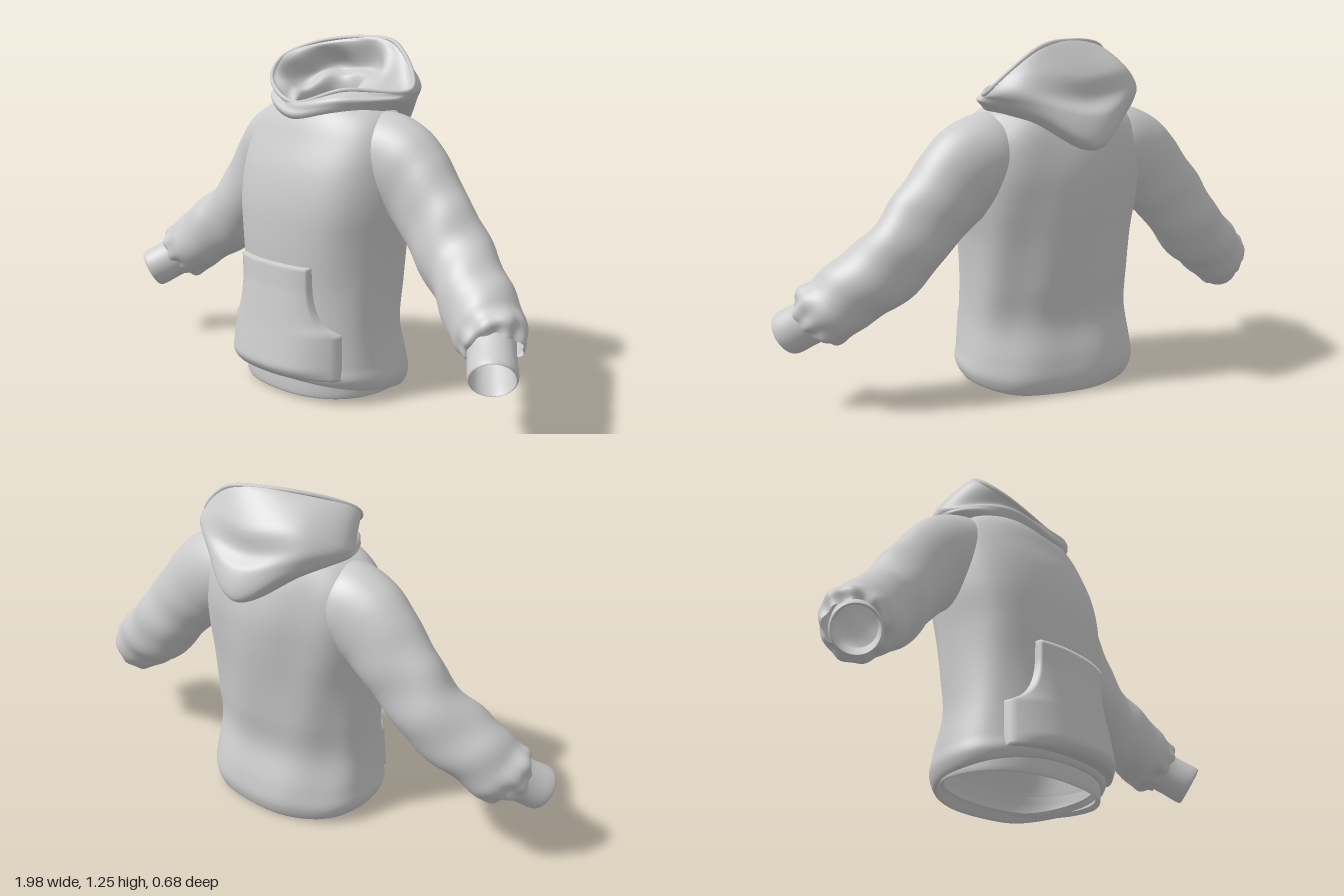
import * as THREE from 'three';

const V = (x, y, z) => new THREE.Vector3(x, y, z);
const { clamp, smoothstep } = THREE.MathUtils;
const fabric = new THREE.MeshStandardMaterial({ color: 0xcccccc, side: THREE.DoubleSide });
fabric.name = 'grey fabric';

// Surface over a grid of points (rows x columns), pushed along its normals by fold(u, v)
function skin(name, rows, closed, fold) {
  const n = rows[0].length, m = rows.length, index = [];
  for (let j = 0; j < m - 1; j++) {
    for (let i = 0; i < (closed ? n : n - 1); i++) {
      const a = j * n + i, b = j * n + (i + 1) % n;
      index.push(a, b, b + n, a, b + n, a + n);
    }
  }
  const geo = new THREE.BufferGeometry().setFromPoints(rows.flat());
  geo.setIndex(index);
  geo.computeVertexNormals();
  if (fold) {
    const p = geo.attributes.position, q = geo.attributes.normal;
    for (let k = 0; k < p.count; k++) {
      const d = fold((k % n) / n * Math.PI * 2, Math.floor(k / n) / (m - 1));
      p.setXYZ(k, p.getX(k) + q.getX(k) * d, p.getY(k) + q.getY(k) * d, p.getZ(k) + q.getZ(k) * d);
    }
    geo.computeVertexNormals();
  }
  const mesh = new THREE.Mesh(geo, fabric);
  mesh.name = name;
  return mesh;
}

// Smooth closed loft through a few cross-section rings
function loft(name, rings, nu, nv, fold) {
  const dense = rings.map(r => {
    const c = new THREE.CatmullRomCurve3(r, true);
    return Array.from({ length: nu }, (_, i) => c.getPoint(i / nu));
  });
  const columns = dense[0].map((_, i) => new THREE.CatmullRomCurve3(dense.map(r => r[i])));
  const rows = Array.from({ length: nv + 1 }, (_, j) => columns.map(c => c.getPoint(j / nv)));
  return skin(name, rows, true, fold);
}

// Torso sections: y, front lift of the lower edge, half width, front z, back z
const EXP = 0.88;
const body = [
  [0.035, 0.06, 0.295, 0.255, -0.185], [0.005, 0.07, 0.318, 0.27, -0.206], [0.055, 0.045, 0.338, 0.285, -0.226],
  [0.13, 0.01, 0.331, 0.28, -0.218], [0.26, 0, 0.317, 0.27, -0.185], [0.4, 0, 0.317, 0.265, -0.2],
  [0.55, 0, 0.327, 0.27, -0.216], [0.68, 0, 0.345, 0.265, -0.23], [0.8, 0, 0.35, 0.24, -0.235],
  [0.9, 0, 0.34, 0.2, -0.22], [0.96, 0, 0.31, 0.175, -0.2], [1.0, 0, 0.265, 0.152, -0.18],
  [1.02, 0, 0.2, 0.14, -0.16], [1.0, 0, 0.13, 0.14, -0.135],
];
function bodyRing([y, lift, w, zf, zb]) {
  return Array.from({ length: 32 }, (_, i) => {
    const a = i / 32 * Math.PI * 2, s = Math.sin(a), c = Math.cos(a);
    const pw = v => Math.sign(v) * Math.abs(v) ** EXP;
    return V(w * pw(s), y + lift * (c + 1) / 2, (zf + zb) / 2 + (zf - zb) / 2 * pw(c));
  });
}
function bodyFront(x, y) {
  let k = 2;
  while (body[k + 1][0] < y) k++;
  const t = clamp((y - body[k][0]) / (body[k + 1][0] - body[k][0]), 0, 1);
  const [, , w, zf, zb] = body[k].map((v, i) => v + (body[k + 1][i] - v) * t);
  return (zf + zb) / 2 + (zf - zb) / 2 * (1 - Math.abs(x / w) ** (2 / EXP)) ** (EXP / 2);
}

// Kangaroo pocket: puffed panel with concave hand openings and turned-back edges
function pocket() {
  const N = 40, M = 36, rows = [];
  for (let j = 0; j <= M; j++) {
    const v = clamp((j - 1) / (M - 2), 0, 1);
    const y = 0.095 + 0.385 * v;
    const t = clamp((y - 0.26) / 0.16, 0, 1);
    const hw = 0.285 - 0.015 * Math.min(y / 0.26, 1) - 0.09 * Math.sqrt(1 - (1 - t) ** 2);
    rows.push(Array.from({ length: N + 1 }, (_, i) => {
      const u = clamp((i - 1) / (N - 2), 0, 1) * 2 - 1;
      const edge = i === 0 || i === N || j === 0 || j === M;
      const puff = 0.022 + 0.042 * smoothstep(v, -0.06, 0.1) * (1 - u ** 4) * (1 - v);
      const x = hw * u;
      return V(x, y, bodyFront(x, y) + (edge ? -0.012 : puff));
    }));
  }
  return skin('frontPocket', rows, false);
}

// Rings of cloth around a path of [x, y, z, radius across, radius in depth]; axis fixes their facing
function tubeRings(list, side, axis) {
  const path = new THREE.CatmullRomCurve3(list.map(p => V(p[0], p[1], p[2])));
  return list.map((p, k) => {
    const T = axis ?? path.getTangent(k / (list.length - 1));
    const depth = V(0, 0, 1).addScaledVector(T, -T.z).normalize();
    const across = depth.clone().cross(T);
    const ring = Array.from({ length: 16 }, (_, i) => {
      const a = i / 16 * Math.PI * 2;
      const q = V(p[0], p[1], p[2]).addScaledVector(across, Math.cos(a) * p[3])
        .addScaledVector(depth, Math.sin(a) * p[4]);
      q.x *= side;
      return q;
    });
    return side < 0 ? ring.reverse() : ring;
  });
}
const sleevePath = [
  [0.17, 0.87, -0.03, 0.13, 0.12], [0.25, 0.855, -0.035, 0.152, 0.138], [0.33, 0.815, -0.04, 0.162, 0.132],
  [0.4, 0.758, -0.045, 0.153, 0.12], [0.49, 0.66, -0.045, 0.138, 0.113], [0.59, 0.548, -0.032, 0.133, 0.116],
  [0.7, 0.452, 0.0, 0.128, 0.12], [0.79, 0.382, 0.04, 0.12, 0.12], [0.845, 0.34, 0.064, 0.113, 0.108],
  [0.87, 0.317, 0.085, 0.08, 0.08],
];
const cuffAxis = V(0.58, -0.5, 0.64).normalize();
const cuffPath = [
  [0.825, 0.348, 0.06, 0.085, 0.08], [0.875, 0.308, 0.11, 0.08, 0.075], [0.925, 0.268, 0.162, 0.079, 0.077],
  [0.93, 0.264, 0.168, 0.074, 0.072], [0.92, 0.272, 0.157, 0.07, 0.068], [0.84, 0.336, 0.075, 0.066, 0.062],
];

// Hood rings, listed from the front round by the model's left to the back
const half = (f, fl, l, bl, b) => [f, fl, l, bl, b,
  ...[bl, l, fl].map(p => [-p[0] * 0.96, p[1], p[2]])].map(p => V(...p));
const rim = [[-0.01, 1.025, 0.155], [0.17, 1.075, 0.085], [0.3, 1.075, -0.11], [0.14, 1.225, -0.19],
  [0, 1.243, -0.165], [-0.16, 1.222, -0.08], [-0.235, 1.17, 0.02], [-0.195, 1.1, 0.105]].map(p => V(...p));
const inward = (s, drop) => rim.map(p => V(p.x * s, p.y - drop, -0.02 + (p.z + 0.02) * s));
const hoodRings = [
  half([0, 0.95, 0.15], [0.17, 0.99, 0.11], [0.25, 1.0, -0.02], [0.17, 0.98, -0.14], [0, 0.95, -0.18]),
  half([0, 0.975, 0.172], [0.18, 1.015, 0.12], [0.275, 1.025, -0.03], [0.18, 0.98, -0.2], [0, 0.885, -0.26]),
  half([0, 0.988, 0.178], [0.19, 1.03, 0.118], [0.295, 1.04, -0.06], [0.16, 0.985, -0.26], [0, 0.9, -0.338]),
  half([0, 1.0, 0.177], [0.193, 1.04, 0.114], [0.3, 1.05, -0.085], [0.19, 1.035, -0.25], [0, 1.0, -0.325]),
  half([0, 1.01, 0.172], [0.19, 1.05, 0.109], [0.302, 1.06, -0.1], [0.22, 1.085, -0.23], [0, 1.05, -0.278]),
  half([0, 1.018, 0.165], [0.183, 1.063, 0.1], [0.298, 1.072, -0.1], [0.2, 1.15, -0.21], [0, 1.13, -0.265]),
  rim,
  inward(0.91, 0.015),
  half([0, 1.0, 0.145], [0.14, 1.05, 0.08], [0.19, 1.08, -0.04], [0.13, 1.13, -0.14], [0, 1.13, -0.18]),
  half([0, 0.985, 0.14], [0.08, 1.02, 0.09], [0.115, 1.06, 0], [0.09, 1.1, -0.1], [0, 1.1, -0.14]),
  half([0, 0.94, 0.14], [0.085, 0.96, 0.1], [0.12, 0.97, 0], [0.085, 0.97, -0.1], [0, 0.96, -0.135]),
];

export function createModel() {
  const model = new THREE.Group();
  model.name = 'hoodedSweatshirt';

  // Body with drapes, deepest over the back and fading towards the shoulders
  model.add(loft('torso', body.map(bodyRing), 96, 90, (u, v) => {
    const depth = Math.sin(Math.PI * v) * (0.55 - 0.45 * Math.cos(u));
    return depth * (0.005 * Math.cos(5 * u + 7 * v) + 0.004 * Math.cos(8 * u - 11 * v));
  }));

  // Ribbed hem band tucked under the body
  model.add(loft('hemBand', [[0.045, -0.015, 0.29, 0.25, -0.18], [0.035, -0.02, 0.305, 0.262, -0.19],
    [0.065, 0, 0.31, 0.266, -0.195], [0.11, 0, 0.308, 0.262, -0.19]].map(bodyRing), 96, 12));

  model.add(pocket());

  // Sleeves with irregular diagonal folds gathered at the wrist, and open cuffs
  for (const [side, label] of [[1, 'left'], [-1, 'right']]) {
    model.add(loft(label + 'Sleeve', tubeRings(sleevePath, side), 64, 100, (u, v) => {
      const a = side > 0 ? u : -u;
      const folds = 0.0035 * Math.sin(27 * v + 2.4 * Math.sin(a + 0.6)) + 0.003 * Math.sin(45 * v - 2 * a)
        + 0.0025 * Math.sin(3 * a + 16 * v);
      return smoothstep(v, 0.25, 0.55) * folds + smoothstep(v, 0.78, 0.95) * 0.005 * Math.sin(9 * a);
    }));
    model.add(loft(label + 'Cuff', tubeRings(cuffPath, side, cuffAxis), 48, 30));
  }

  // Hood, lying open, with drapes and a rolled edge
  model.add(loft('hood', hoodRings, 96, 80,
    (u, v) => 0.004 * Math.sin(4 * u + 14 * v) * Math.sin(Math.PI * v)
      + 0.009 * Math.sin(6 * u + 9 * v) * smoothstep(v, 0.66, 0.78) * (1 - smoothstep(v, 0.85, 0.95))));
  const edge = new THREE.Mesh(
    new THREE.TubeGeometry(new THREE.CatmullRomCurve3(rim, true), 96, 0.008, 8, true), fabric);
  edge.name = 'hoodEdge';
  model.add(edge);

  return model;
}
